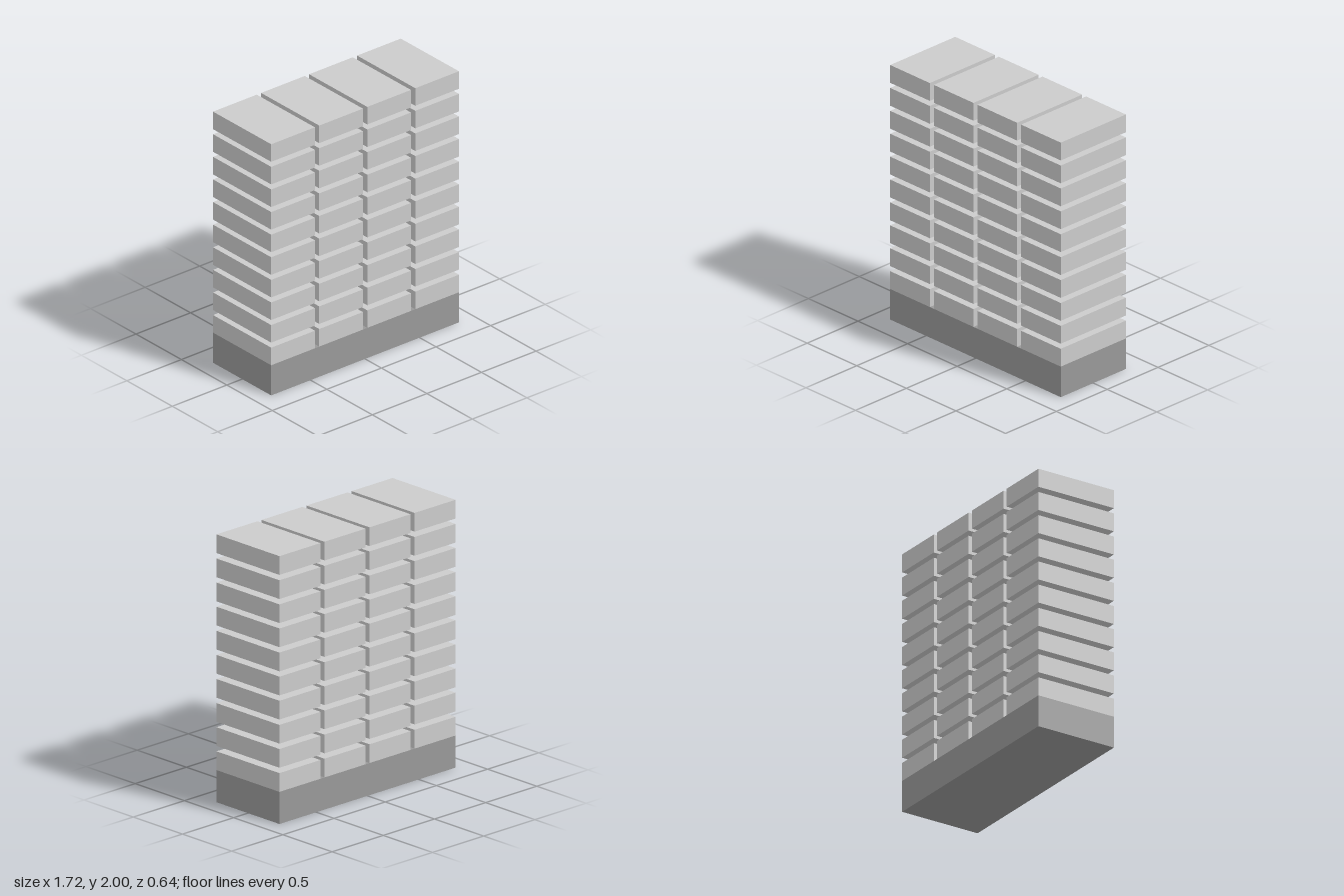
import * as THREE from 'three';

const COLUMNS = 4, FLOORS = 10;
const WIDTH = 1.72, DEPTH = 0.64, BASE_HEIGHT = 0.24;
const BLOCK_WIDTH = 0.4, BLOCK_HEIGHT = 0.14, GAP = 0.04;

function addBox(parent, name, size, position, material) {
  const mesh = new THREE.Mesh(new THREE.BoxGeometry(...size), material);
  mesh.name = name;
  mesh.position.set(...position);
  parent.add(mesh);
}

export function createModel() {
  const model = new THREE.Group();
  model.name = 'blockTower';
  const blockMaterial = new THREE.MeshStandardMaterial({ color: 0xcccccc });
  const baseMaterial = new THREE.MeshStandardMaterial({ color: 0x999999 });

  // Solid darker plinth
  addBox(model, 'base', [WIDTH, BASE_HEIGHT, DEPTH], [0, BASE_HEIGHT / 2, 0], baseMaterial);

  // Separate blocks, floor by floor; the first floor rests on the base
  for (let f = 0; f < FLOORS; f++) {
    const floor = new THREE.Group();
    floor.name = `floor${f + 1}`;
    floor.position.y = BASE_HEIGHT + BLOCK_HEIGHT / 2 + f * (BLOCK_HEIGHT + GAP);
    for (let c = 0; c < COLUMNS; c++) {
      const x = (c - (COLUMNS - 1) / 2) * (BLOCK_WIDTH + GAP);
      addBox(floor, `block${c + 1}`, [BLOCK_WIDTH, BLOCK_HEIGHT, DEPTH], [x, 0, 0], blockMaterial);
    }
    model.add(floor);
  }
  return model;
}
